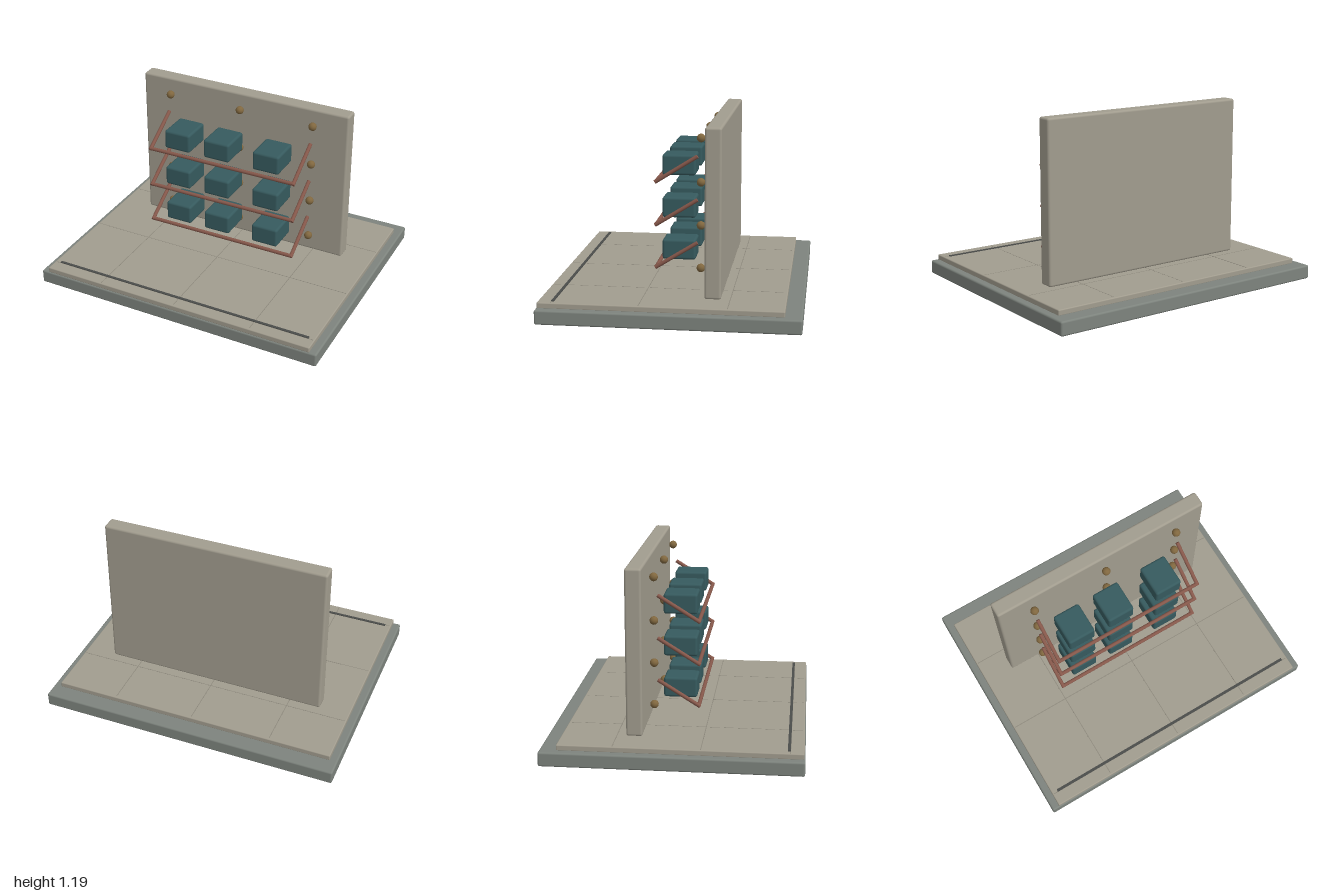
import * as THREE from 'three';
import { RoundedBoxGeometry } from 'three/addons/geometries/RoundedBoxGeometry.js';

const paint = (color) => new THREE.MeshStandardMaterial({ color });

export function createModel() {
  const model = new THREE.Group();
  const slate = paint(0x7d837d), stone = paint(0xa19c8e), seam = paint(0x8b877b);
  const dark = paint(0x4a4c4a), teal = paint(0x365a5e), copper = paint(0x85574a), brass = paint(0x80673f);

  const add = (name, geometry, material, x, y, z) => {
    const mesh = new THREE.Mesh(geometry, material);
    mesh.name = name;
    mesh.position.set(x, y, z);
    model.add(mesh);
    return mesh;
  };
  // Softly bevelled box given by its limits on each axis
  const slab = (name, [x0, x1], [y0, y1], [z0, z1], r, material) =>
    add(name, new RoundedBoxGeometry(x1 - x0, y1 - y0, z1 - z0, 3, r), material,
      (x0 + x1) / 2, (y0 + y1) / 2, (z0 + z1) / 2);
  // Round bar between two points
  const bar = (name, a, b, r, material) => {
    const from = new THREE.Vector3(...a), dir = new THREE.Vector3(...b).sub(from);
    const mid = from.clone().addScaledVector(dir, 0.5);
    const mesh = add(name, new THREE.CylinderGeometry(r, r, dir.length(), 16), material, mid.x, mid.y, mid.z);
    mesh.quaternion.setFromUnitVectors(new THREE.Vector3(0, 1, 0), dir.normalize());
  };

  // Plinth, floor and back wall
  slab('base', [-1, 1], [0, 0.092], [-0.81, 0.81], 0.012, slate);
  slab('floor', [-0.95, 0.95], [0.088, 0.126], [-0.705, 0.804], 0.007, stone);
  slab('wall', [-0.75, 0.75], [0.124, 1.187], [-0.303, -0.2], 0.015, stone);

  // Fine floor joints and the dark strip along the front
  for (const i of [-1, 0, 1]) {
    add('floorJoint', new THREE.BoxGeometry(0.005, 0.002, 1.48), seam, i * 0.54, 0.1255, 0.05);
    add('floorJoint', new THREE.BoxGeometry(1.88, 0.002, 0.005), seam, 0, 0.1255, 0.18 + i * 0.54);
  }
  add('frontStrip', new THREE.BoxGeometry(1.82, 0.008, 0.018), dark, 0, 0.127, 0.712);

  // Three tiers, each a row of blocks behind a sloping guard rail
  for (let row = 0; row < 3; row++) {
    const y = 0.262 + row * 0.275;
    for (const x of [-0.333, -0.043, 0.313])
      slab('block', [x - 0.093, x + 0.093], [y + 0.018, y + 0.149], [-0.105, 0.11], 0.016, teal);
    bar('frontRail', [-0.522, y, 0.13], [0.522, y, 0.13], 0.0125, copper);
    for (const x of [-0.522, 0.522])
      bar('sideRail', [x, y - 0.005, 0.138], [x, y + 0.162, -0.13], 0.0125, copper);
  }

  // Round studs in front of the wall
  for (const y of [0.262, 0.537, 0.812, 1.09])
    for (const x of [-0.522, 0, 0.522])
      add('stud', new THREE.SphereGeometry(0.027, 24, 16), brass, x, y, -0.153);

  return model;
}
